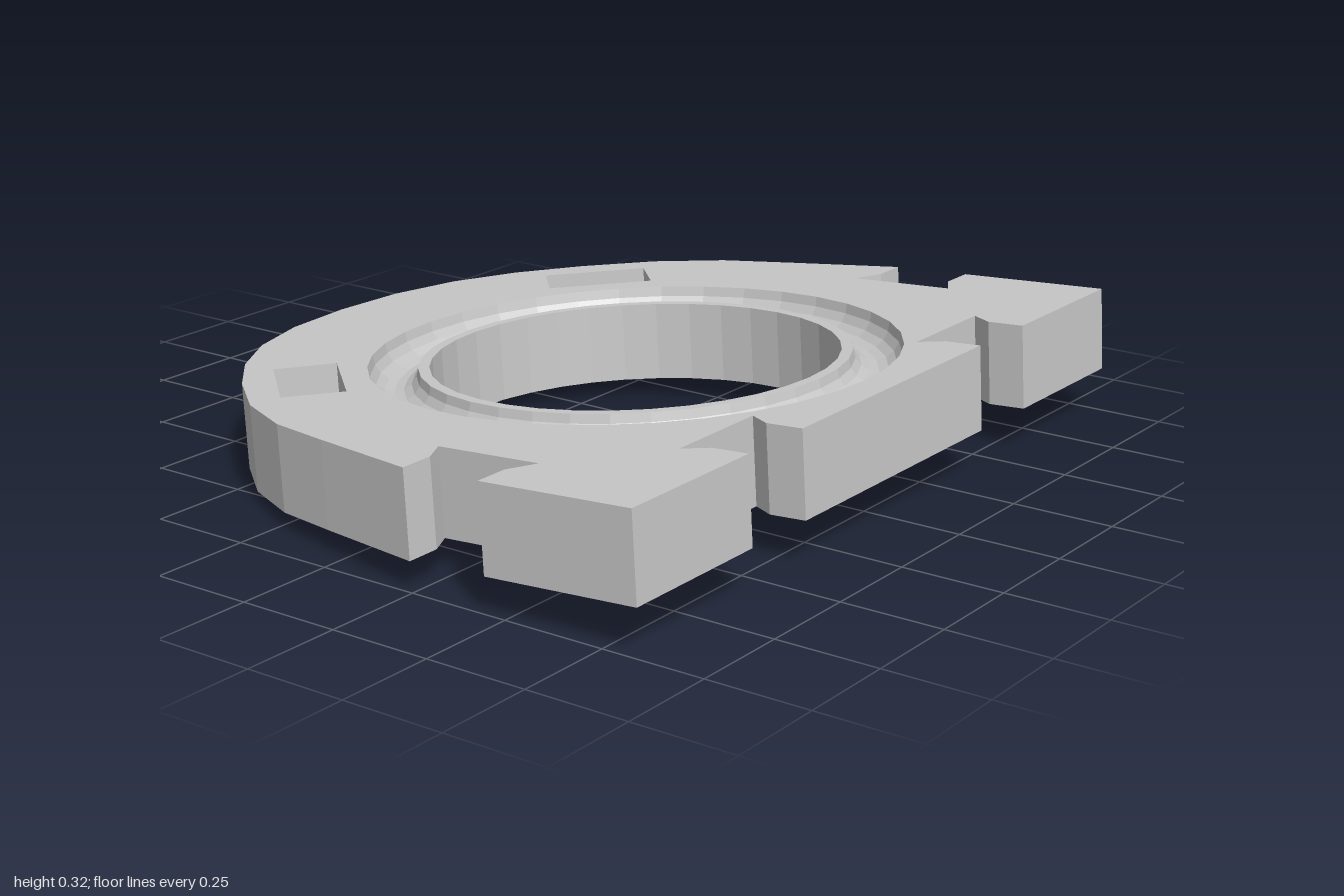
import * as THREE from 'three';

const T = 0.207;      // plate thickness
const CZ = 0.11;      // z of the bore centre
const SEG = 36;
const R_GROOVE = 0.64, R_LIP = 0.52, R_BORE = 0.493;

const mirror = (pts) => pts.map(([x, z]) => [-x, z]);

function circle(r, cx, cz, n) {
  return Array.from({ length: n }, (_, i) => {
    const a = (i / n) * Math.PI * 2;
    return [cx + r * Math.sin(a), cz + r * Math.cos(a)];
  });
}

// Flat face of the plate, facing up (dir = 1) or down (dir = -1)
function cap(outline, holes, y, dir) {
  const vec = (pts) => pts.map(([x, z]) => new THREE.Vector2(x, -dir * z));
  const shape = new THREE.Shape(vec(outline));
  shape.holes = holes.map((h) => new THREE.Path(vec(h)));
  return new THREE.ShapeGeometry(shape).rotateX(-dir * Math.PI / 2).translate(0, y, 0);
}

// Upright wall along a closed loop
function wall(loop) {
  const pos = [];
  loop.forEach(([ax, az], i) => {
    const [bx, bz] = loop[(i + 1) % loop.length];
    pos.push(ax, 0, az, ax, T, az, bx, T, bz);
    pos.push(ax, 0, az, bx, T, bz, bx, 0, bz);
  });
  const g = new THREE.BufferGeometry();
  g.setAttribute('position', new THREE.Float32BufferAttribute(pos, 3));
  g.computeVertexNormals();
  return g;
}

function lathe(profile, n, x, z) {
  return new THREE.LatheGeometry(profile.map(([r, y]) => new THREE.Vector2(r, y)), n).translate(x, 0, z);
}

export function createModel() {
  const root = new THREE.Group();
  root.name = 'bearingPlate';
  const plate = new THREE.Group();
  plate.name = 'tiltedPlate';
  root.add(plate);

  const grey = new THREE.MeshStandardMaterial({ color: 0xc8c8c8, flatShading: true });
  grey.name = 'light grey';
  const add = (name, geometry) => {
    const m = new THREE.Mesh(geometry, grey);
    m.name = name;
    plate.add(m);
  };

  // Half outline from the rounded back, past the side notch, to the front slot
  const half = [
    [0.195, -0.818], [0.37, -0.765], [0.525, -0.673], [0.66, -0.553], [0.79, -0.402],
    [0.878, -0.235], [0.925, -0.06], [1, 0.24],
    [0.912, 0.24], [0.845, 0.207], [0.845, 0.48], [0.912, 0.442], [1, 0.442],
    [1, 0.833], [0.588, 0.833], [0.588, 0.74], [0.625, 0.682], [0.348, 0.682],
    [0.383, 0.74], [0.383, 0.833],
  ];
  const outline = [[0, -0.833], ...half, ...mirror(half).reverse()];

  // Slanted rectangular windows
  const win = [[0.53, -0.575], [0.711, -0.382], [0.6, -0.277], [0.417, -0.473]];
  const windows = [[...win].reverse(), mirror(win)];

  // Blind pin holes in the underside
  const PIN_R = 0.025, PIN_N = 12;
  const pins = [[0.3, -0.535], [-0.3, -0.535]];

  add('topFace', cap(outline, [...windows, circle(R_GROOVE, 0, CZ, SEG)], T, 1));
  add('bottomFace', cap(outline, [
    ...windows, circle(R_BORE, 0, CZ, SEG),
    ...pins.map(([x, z]) => circle(PIN_R, x, z, PIN_N)),
  ], 0, -1));
  add('outerWall', wall(outline));
  windows.forEach((w, i) => add(i ? 'rightWindowWall' : 'leftWindowWall', wall(w)));
  pins.forEach(([x, z], i) => add(i ? 'rightPinHole' : 'leftPinHole',
    lathe([[0, 0.1], [PIN_R, 0.1], [PIN_R, 0]], PIN_N, x, z)));

  // Ball groove, its slightly lower inner lip, and the bore
  const mid = (R_GROOVE + R_LIP) / 2, gr = (R_GROOVE - R_LIP) / 2;
  const groove = [];
  for (let i = 0; i <= 8; i++) {
    const a = (i / 8) * Math.PI;
    groove.push([mid + gr * Math.cos(a), T - gr * Math.sin(a) - 0.01 * (i / 8)]);
  }
  add('ballGroove', lathe(groove, SEG, 0, CZ));
  add('innerLip', lathe([[R_LIP, T - 0.01], [R_BORE, T - 0.01]], SEG, 0, CZ));
  add('boreWall', lathe([[R_BORE, T - 0.01], [R_BORE, 0]], SEG, 0, CZ));

  // The plate leans down towards the back
  plate.rotation.x = -0.066;
  plate.position.set(0, 0.055, 0.005);
  return root;
}
